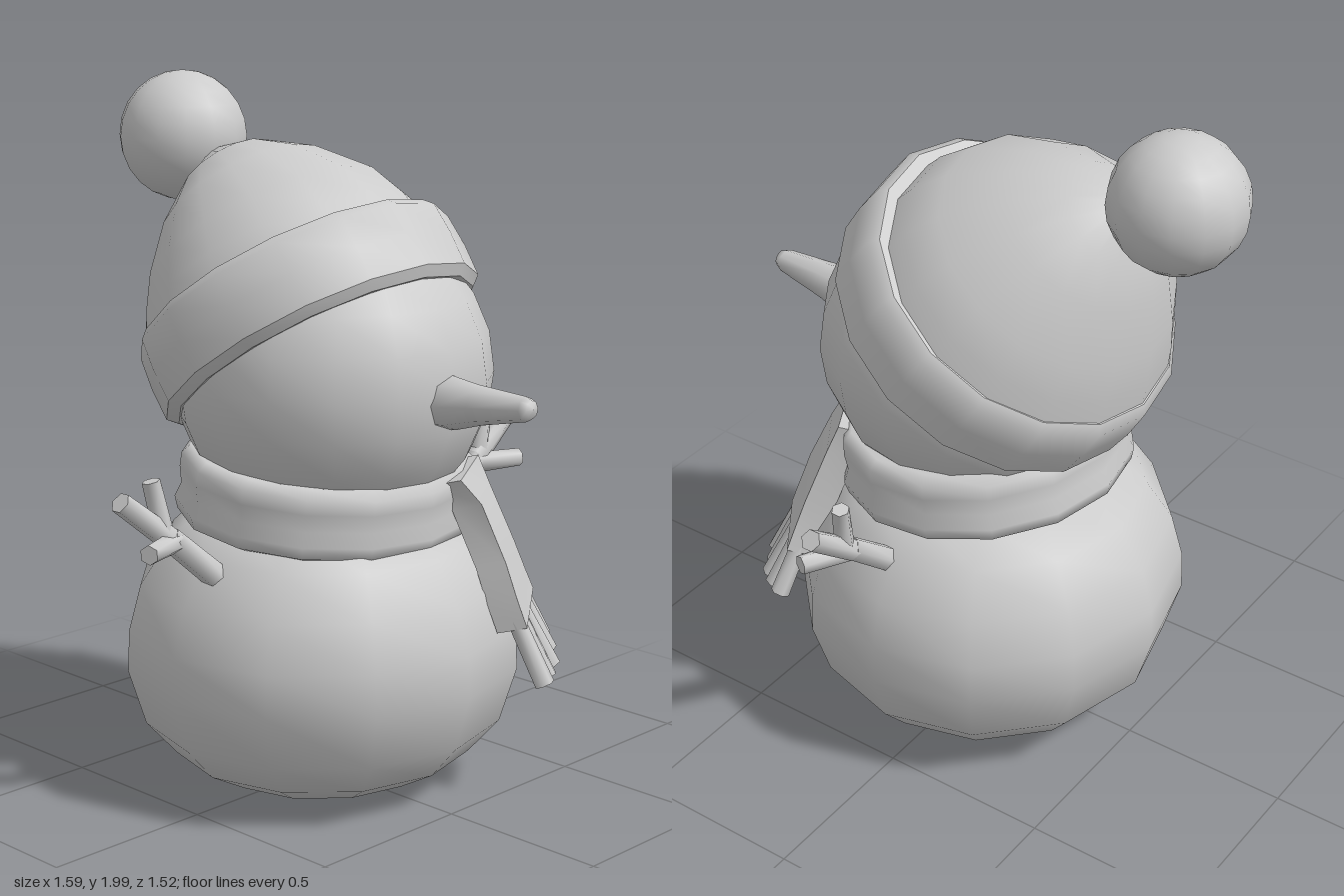
import * as THREE from 'three';
import { toCreasedNormals } from 'three/addons/utils/BufferGeometryUtils.js';

const V = (x, y, z) => new THREE.Vector3(x, y, z);

// Lathe from [radius, height] pairs, listed bottom to top
const lathe = (pairs, sides) =>
  new THREE.LatheGeometry(pairs.map(([r, y]) => new THREE.Vector2(r, y)), sides);

// Skin joining closed rings of points, optionally capped at both ends
function loft(rings, capped = false) {
  const n = rings[0].length, index = [];
  for (let r = 0; r < rings.length - 1; r++) {
    for (let i = 0; i < n; i++) {
      const a = r * n + i, b = r * n + (i + 1) % n;
      index.push(a, a + n, b + n, a, b + n, b);
    }
  }
  if (capped) {
    const e = (rings.length - 1) * n;
    for (let i = 1; i < n - 1; i++) index.push(0, i, i + 1, e, e + i + 1, e + i);
  }
  const g = new THREE.BufferGeometry();
  const pos = rings.flat().flatMap((p) => [p.x, p.y, p.z]);
  g.setAttribute('position', new THREE.Float32BufferAttribute(pos, 3));
  g.setIndex(index);
  g.computeVertexNormals();
  return g;
}

export function createModel() {
  const model = new THREE.Group();
  model.name = 'snowman';
  const grey = new THREE.MeshStandardMaterial({ color: 0xcccccc });
  grey.name = 'plainGrey';

  const add = (name, geometry, parent = model) => {
    const mesh = new THREE.Mesh(geometry, grey);
    mesh.name = name;
    parent.add(mesh);
    return mesh;
  };

  // Tapered rod between two points
  const rod = (name, a, b, r0, r1, parent, sides = 6) => {
    const d = b.clone().sub(a);
    const g = toCreasedNormals(new THREE.CylinderGeometry(r1, r0, d.length(), sides), 1.2);
    const mesh = add(name, g, parent);
    mesh.position.copy(a).addScaledVector(d, 0.5);
    mesh.quaternion.setFromUnitVectors(V(0, 1, 0), d.normalize());
    return mesh;
  };

  // Body: squat ball
  const body = add('body', lathe([[0, 0.008], [0.17, 0.01], [0.32, 0.035], [0.44, 0.1], [0.53, 0.2],
    [0.58, 0.36], [0.575, 0.48], [0.54, 0.61], [0.46, 0.73], [0.36, 0.82], [0, 0.88]], 12));
  body.scale.z = 0.965;

  // Head
  const head = add('head', new THREE.SphereGeometry(0.455, 16, 12));
  head.position.set(0, 1.2, 0.035);
  head.scale.set(0.99, 0.97, 1);

  // Carrot nose, pointing slightly up
  const nose = add('nose', lathe([[0.075, -0.1], [0.074, 0.04], [0.055, 0.13], [0.034, 0.29],
    [0.024, 0.31], [0, 0.315]], 8));
  nose.position.set(0, 1.175, 0.45);
  nose.rotation.x = Math.PI / 2 - 0.09;

  // Scarf wrapped around the neck, higher at the back
  const scarf = add('scarf', lathe([[0.3, -0.09], [0.39, -0.105], [0.435, -0.085], [0.445, -0.05],
    [0.428, -0.01], [0.435, 0.04], [0.432, 0.08], [0.405, 0.105], [0.3, 0.1]], 14));
  scarf.position.set(0, 0.875, 0.015);
  scarf.rotation.x = 0.1;
  scarf.scale.z = 0.925;

  // Hanging scarf end: a slab given by its left and right edges
  const tail = new THREE.Group();
  tail.name = 'scarfEnd';
  model.add(tail);
  const rows = [
    [V(0.1, 0.935, 0.43), V(0.31, 0.95, 0.31)],
    [V(0.16, 0.86, 0.455), V(0.33, 0.865, 0.34)],
    [V(0.185, 0.7, 0.525), V(0.385, 0.7, 0.385)],
    [V(0.195, 0.6, 0.56), V(0.415, 0.61, 0.405)],
    [V(0.21, 0.52, 0.585), V(0.44, 0.55, 0.415)],
  ];
  const back = V(-0.045, -0.02, -0.07);
  add('scarfEndCloth', toCreasedNormals(loft(rows.map(([l, r]) =>
    [l, r, r.clone().add(back), l.clone().add(back)]), true), 0.9), tail);

  // Fringe strands
  const tips = [V(0.25, 0.355, 0.62), V(0.31, 0.355, 0.58), V(0.37, 0.365, 0.545),
    V(0.42, 0.385, 0.49), V(0.47, 0.41, 0.425)];
  tips.forEach((tip, i) => {
    const start = rows[3][0].clone().lerp(rows[3][1], 0.1 + i * 0.2).addScaledVector(back, 0.4);
    rod('fringe', start, tip, 0.024, 0.028, tail);
  });

  // Twig arms with three fingers each
  for (const s of [1, -1]) {
    const arm = new THREE.Group();
    arm.name = s > 0 ? 'leftArm' : 'rightArm';
    model.add(arm);
    const p = (x, y, z) => V(s * x, y, z);
    rod('forearm', p(0.42, 0.67, 0.035), p(0.62, 0.84, 0.035), 0.038, 0.034, arm);
    rod('longFinger', p(0.61, 0.83, 0.035), p(0.78, 0.965, 0.03), 0.034, 0.03, arm);
    rod('upperFinger', p(0.635, 0.85, 0.035), p(0.665, 1.0, 0.02), 0.028, 0.025, arm);
    rod('lowerFinger', p(0.6, 0.825, 0.035), p(0.745, 0.83, 0.1), 0.032, 0.027, arm);
  }

  // Hat brim: thick band tilted back
  const hat = new THREE.Group();
  hat.name = 'hat';
  model.add(hat);
  const brim = add('hatBrim', toCreasedNormals(lathe([[0.38, 0.01], [0.455, 0], [0.482, 0.025],
    [0.485, 0.12], [0.478, 0.215], [0.455, 0.24], [0.38, 0.235]], 16), 0.75), hat);
  brim.position.set(0, 1.24, 0.01);
  brim.rotation.x = -0.62;

  // Hat crown: rings [front z, front y, back z, back y] drooping backwards
  const crown = [
    [0.23, 1.66, -0.49, 1.14], [0.17, 1.715, -0.507, 1.24], [0.07, 1.775, -0.515, 1.34],
    [-0.12, 1.82, -0.515, 1.5], [-0.28, 1.823, -0.495, 1.62], [-0.4, 1.795, -0.465, 1.7],
    [-0.45, 1.76, -0.45, 1.76],
  ].map(([fz, fy, bz, by]) => {
    const r = Math.hypot(fz - bz, fy - by) / 2;
    return Array.from({ length: 16 }, (_, i) => {
      const a = (i / 16) * Math.PI * 2, t = (1 - Math.sin(a)) / 2;
      return V(r * 1.03 * Math.cos(a), fy + (by - fy) * t, fz + (bz - fz) * t);
    });
  });
  add('hatCrown', loft(crown), hat);

  // Pompom
  const pompom = add('pompom', new THREE.SphereGeometry(0.188, 14, 12), hat);
  pompom.position.set(0, 1.812, -0.576);

  return model;
}
